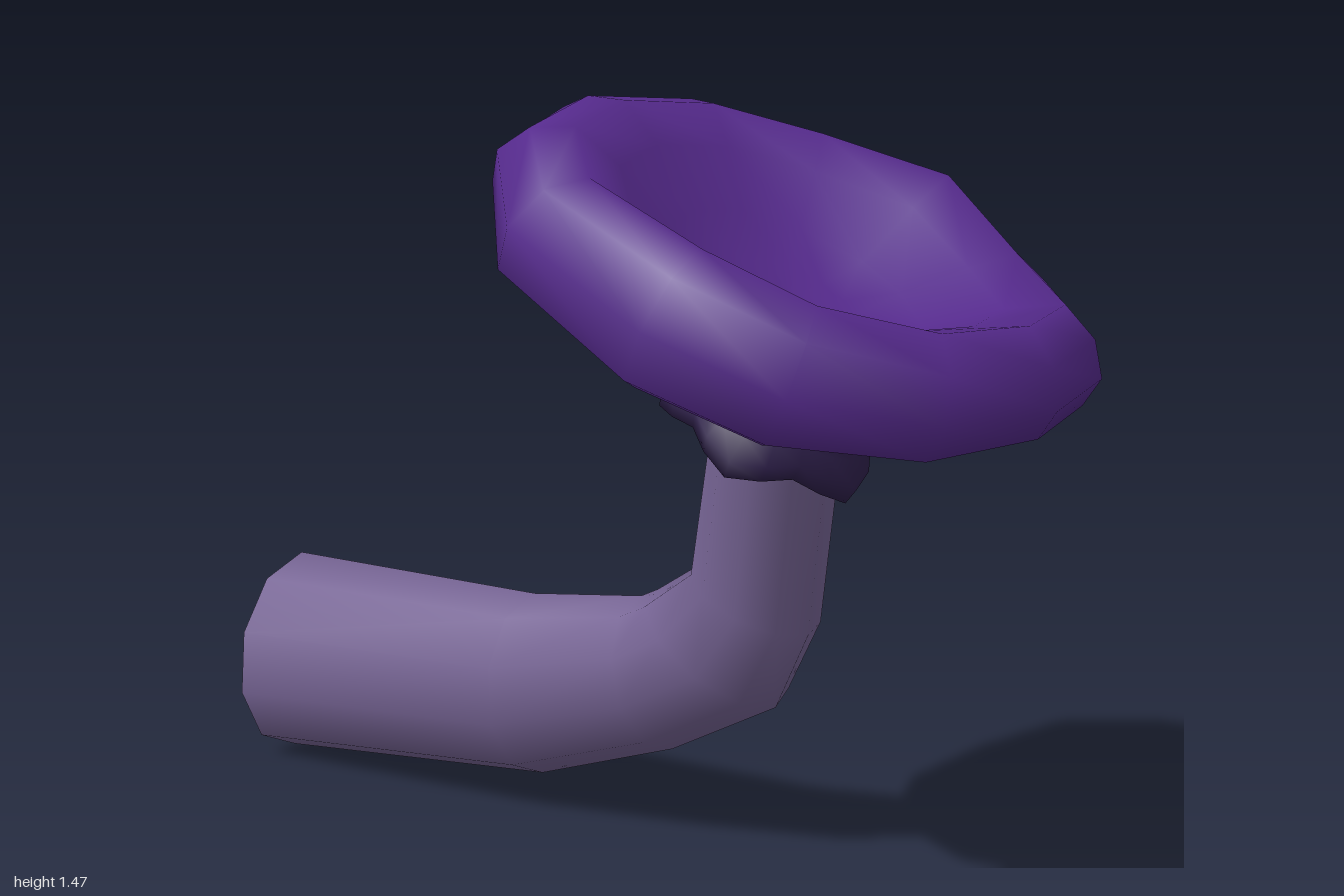
import * as THREE from 'three';

// Skin a grid of points: rows follow the axis, columns wrap around it.
function loft(name, color, rows, cols, point) {
  const pos = [], index = [];
  for (let i = 0; i < rows; i++)
    for (let j = 0; j < cols; j++) pos.push(...point(i, (j / cols) * Math.PI * 2, j));
  for (let i = 0; i < rows - 1; i++)
    for (let j = 0; j < cols; j++) {
      const k = (j + 1) % cols;
      const a = i * cols + j, b = i * cols + k, c = a + cols, d = b + cols;
      index.push(a, b, c, b, d, c);
    }
  const geo = new THREE.BufferGeometry();
  geo.setAttribute('position', new THREE.Float32BufferAttribute(pos, 3));
  geo.setIndex(index);
  geo.computeVertexNormals();
  const mesh = new THREE.Mesh(geo, new THREE.MeshStandardMaterial({ color, side: THREE.DoubleSide }));
  mesh.name = name;
  return mesh;
}

export function createModel() {
  const model = new THREE.Group();
  model.name = 'mushroom';

  // Bent stem, open at its end: centre x, y, z, half-height vector x, y, half-width in z
  const stem = [
    [-0.985, 0.215, -0.17, 0.015, 0.215, 0.178],
    [-0.3, 0.245, -0.165, -0.01, 0.187, 0.162],
    [0.02, 0.32, -0.15, -0.04, 0.15, 0.14],
    [0.175, 0.395, -0.14, -0.145, 0.097, 0.135],
    [0.285, 0.513, -0.12, -0.125, 0.055, 0.125],
    [0.365, 0.85, -0.075, -0.115, 0.05, 0.13],
    [0.4, 0.98, -0.055, -0.11, 0.05, 0.12],
  ];
  model.add(loft('stem', 0x766494, stem.length, 10, (i, a) => {
    const [x, y, z, ux, uy, w] = stem[i], c = Math.cos(a);
    return [x + ux * c, y + uy * c, z + w * Math.sin(a)];
  }));

  // Tilted head
  const head = new THREE.Group();
  head.name = 'head';
  head.position.set(0.465, 1.16, 0);
  head.rotation.z = -0.446;
  model.add(head);

  // Uneven cap outline: x, z, height of the rim's lower edge, height of its crest
  const outline = [
    [0.57, -0.04, -0.02, 0.165], [0.5, -0.3, -0.03, 0.15], [0.25, -0.47, -0.05, 0.125],
    [-0.03, -0.52, -0.05, 0.165], [-0.35, -0.44, -0.05, 0.12], [-0.55, -0.25, -0.03, 0.11],
    [-0.585, 0.06, -0.01, 0.12], [-0.515, 0.31, -0.06, 0.11], [-0.305, 0.49, -0.11, 0.11],
    [0.05, 0.51, -0.13, 0.13], [0.305, 0.4, -0.125, 0.125], [0.515, 0.22, -0.06, 0.15],
  ];
  // Profile rows: scale of the outline, share of lower edge, share of crest, height
  const capPoint = (profile) => (i, a, j) => {
    const [x, z, low, crest] = outline[j], [s, l, c, h] = profile[i];
    return [x * s, low * l + crest * c + h, z * s];
  };
  const rim = [0.88, 1, 0, -0.015];
  const cap = [rim, [0.98, 1, 0, 0.01], [1, 0.55, 0.4, 0], [0.93, 0.12, 0.75, 0], [0.8, 0, 1, 0],
    [0.63, 0, 0.65, 0], [0.42, 0, 0, 0.005], [0.2, 0, 0, -0.03], [0, 0, 0, -0.035]];
  head.add(loft('cap', 0x552a8c, cap.length, 12, capPoint(cap)));
  const under = [[0.28, 0, 0, -0.165], [0.4, 0.1, 0, -0.135], [0.65, 0.5, 0, -0.065], rim];
  head.add(loft('capUnderside', 0x2f204c, under.length, 12, capPoint(under)));

  // Neck with a ruffled collar: radius, height, sideways shift, ruffle
  const neck = [
    [0.12, -0.29, 1, 0], [0.16, -0.325, 1, 0.6], [0.195, -0.335, 1, 1],
    [0.205, -0.3, 1, 1], [0.175, -0.265, 1, 0.5], [0.155, -0.225, 0.8, 0],
    [0.16, -0.18, 0.5, 0], [0.2, -0.125, 0.2, 0],
  ];
  head.add(loft('neckCollar', 0x2f204c, neck.length, 20, (i, a) => {
    const [r, h, s, f] = neck[i], wave = f * Math.cos(5 * a);
    const R = r + 0.015 * wave;
    return [0.035 * s + R * Math.cos(a), h - 0.015 * wave, -0.06 * s - R * Math.sin(a)];
  }));

  return model;
}
